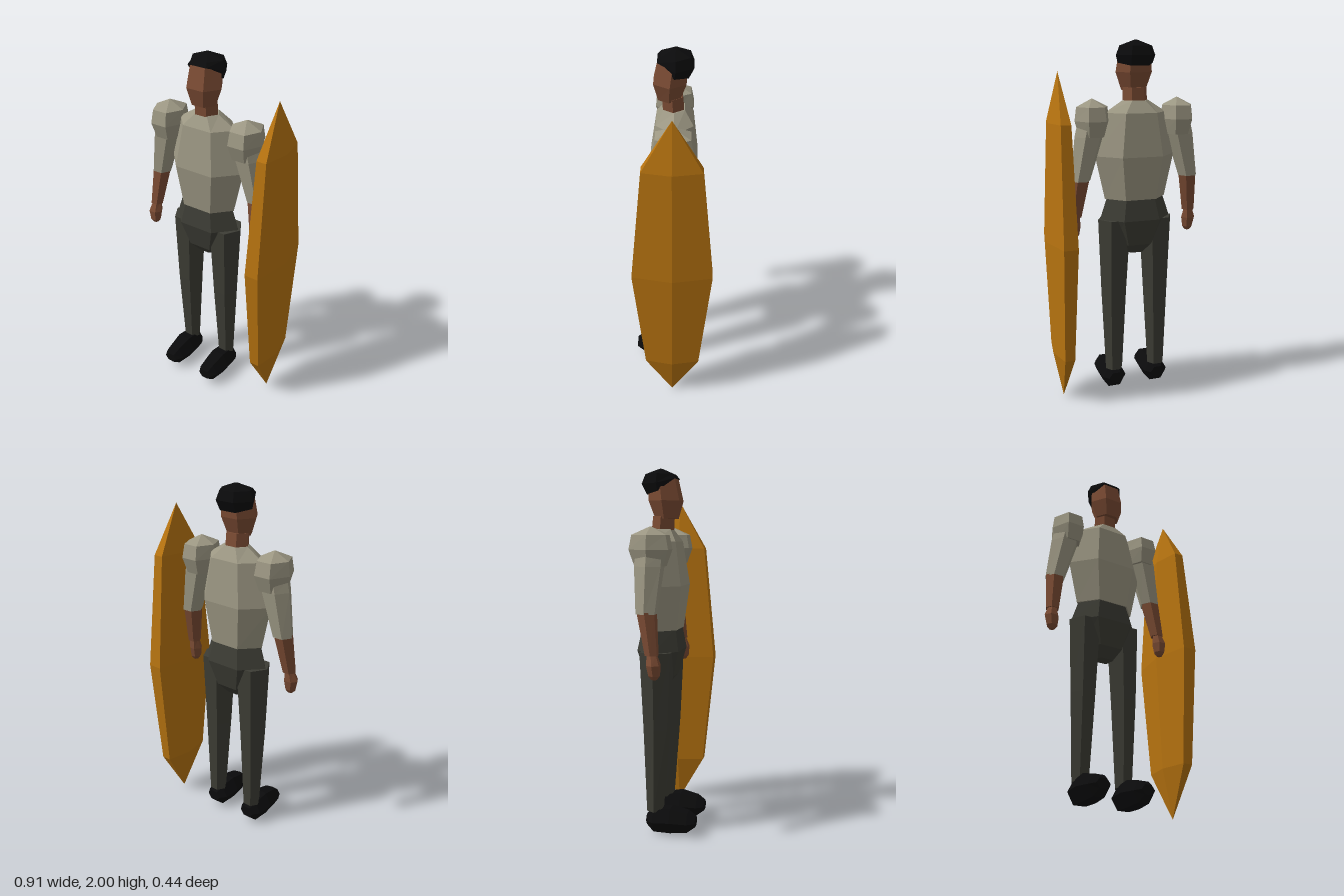
import * as THREE from 'three';

const mat = (name, color) => {
  const m = new THREE.MeshStandardMaterial({ color, flatShading: true });
  m.name = name;
  return m;
};

// Six-sided loft, rings listed bottom to top:
// [y, centreX, centreZ, halfWidth, halfDepth, liftFront = 0, liftBack = 0]
function loft(rings) {
  const pts = rings.map(([y, cx, cz, rx, rz, front = 0, back = 0]) =>
    Array.from({ length: 6 }, (_, i) => {
      const a = (i * Math.PI) / 3;
      const depth = -Math.sin(a) / Math.sin(Math.PI / 3);
      const lift = depth > 0.5 ? front : depth < -0.5 ? back : 0;
      return [cx + rx * Math.cos(a), y + lift, cz + rz * depth];
    }));
  const out = [];
  const tri = (...p) => p.forEach((v) => out.push(...v));
  for (let r = 0; r < pts.length - 1; r++) {
    for (let i = 0; i < 6; i++) {
      const j = (i + 1) % 6;
      tri(pts[r][i], pts[r][j], pts[r + 1][j]);
      tri(pts[r][i], pts[r + 1][j], pts[r + 1][i]);
    }
  }
  // end caps
  const lo = pts[0], hi = pts[pts.length - 1];
  for (let i = 1; i < 5; i++) {
    tri(lo[0], lo[i + 1], lo[i]);
    tri(hi[0], hi[i], hi[i + 1]);
  }
  const g = new THREE.BufferGeometry();
  g.setAttribute('position', new THREE.Float32BufferAttribute(out, 3));
  g.computeVertexNormals();
  return g;
}

export function createModel() {
  const shirt = mat('shirt grey', 0x9c9783);
  const skin = mat('skin brown', 0x7c4c34);
  const trousers = mat('trouser grey', 0x3d3d35);
  const black = mat('black', 0x0b0b0c);
  const ochre = mat('shield ochre', 0xb87410);

  const model = new THREE.Group();
  const body = new THREE.Group();
  body.name = 'figure';
  body.position.x = -0.066;
  model.add(body);

  const add = (name, geometry, material) => {
    const m = new THREE.Mesh(geometry, material);
    m.name = name;
    body.add(m);
    return m;
  };

  // head, hair and neck
  add('head', loft([
    [1.735, 0, 0.022, 0.072, 0.056],
    [1.83, 0, 0.017, 0.106, 0.084],
    [1.95, 0, 0.0, 0.092, 0.074],
  ]), skin);
  add('hair', loft([
    [1.88, 0, -0.006, 0.102, 0.072, 0.062, -0.015],
    [1.92, 0, -0.012, 0.114, 0.092, 0.027, 0],
    [1.97, 0, -0.012, 0.094, 0.074],
    [2.0, 0, -0.012, 0.01, 0.008],
  ]), black);
  add('neck', loft([
    [1.62, 0, -0.005, 0.072, 0.055],
    [1.75, 0, 0.005, 0.07, 0.052],
  ]), skin);

  // trunk
  add('torso', loft([
    [1.14, 0, -0.003, 0.178, 0.1],
    [1.38, 0, -0.003, 0.233, 0.128],
    [1.615, 0, -0.008, 0.178, 0.098],
    [1.68, 0, -0.005, 0.075, 0.055],
  ]), shirt);
  add('pelvis', loft([
    [0.825, 0, -0.005, 0.06, 0.035],
    [0.88, 0, -0.005, 0.132, 0.08],
    [1.025, 0, -0.005, 0.208, 0.115],
    [1.15, 0, -0.003, 0.165, 0.093],
  ]), trousers);

  // limbs, mirrored left and right
  for (const s of [1, -1]) {
    const side = s > 0 ? 'left' : 'right';
    const limb = (name, rings, material) =>
      add(side + name, loft(rings.map(([y, x, ...rest]) => [y, s * x, ...rest])), material);

    limb('ShoulderPad', [
      [1.49, 0.249, -0.004, 0.074, 0.076],
      [1.575, 0.249, -0.004, 0.098, 0.104],
      [1.65, 0.249, -0.004, 0.088, 0.09],
      [1.692, 0.249, -0.004, 0.004, 0.004],
    ], shirt);
    limb('Sleeve', [
      [1.25, 0.32, -0.008, 0.056, 0.05],
      [1.49, 0.267, -0.006, 0.082, 0.07],
      [1.55, 0.255, -0.005, 0.08, 0.07],
    ], shirt);
    limb('Forearm', [
      [1.04, 0.344, 0.026, 0.038, 0.032],
      [1.26, 0.32, -0.006, 0.054, 0.047],
    ], skin);
    limb('Hand', [
      [0.915, 0.348, 0.04, 0.015, 0.014],
      [0.935, 0.348, 0.04, 0.031, 0.027],
      [0.99, 0.35, 0.036, 0.042, 0.034],
      [1.045, 0.344, 0.027, 0.026, 0.024],
    ], skin);
    limb('Leg', [
      [0.13, 0.13, -0.012, 0.05, 0.042],
      [0.6, 0.127, -0.004, 0.075, 0.066],
      [1.025, 0.122, -0.005, 0.097, 0.085],
    ], trousers);
    // shoe sections run heel to toe, then are tipped so the loft axis points forward
    const shoe = limb('Shoe', [
      [-0.056, 0.13, -0.08, 0.044, 0.03],
      [-0.015, 0.13, -0.077, 0.07, 0.062],
      [0.08, 0.13, -0.085, 0.076, 0.07],
      [0.175, 0.13, -0.08, 0.062, 0.055],
      [0.218, 0.13, -0.082, 0.04, 0.026],
    ], black);
    shoe.geometry.rotateX(Math.PI / 2);
  }

  // tall faceted shield on the left side
  const shield = new THREE.Mesh(new THREE.SphereGeometry(1, 6, 4), ochre);
  shield.name = 'shield';
  shield.scale.set(0.08, 0.918, 0.248);
  shield.position.set(0.37, 0.92, -0.003);
  model.add(shield);

  return model;
}
